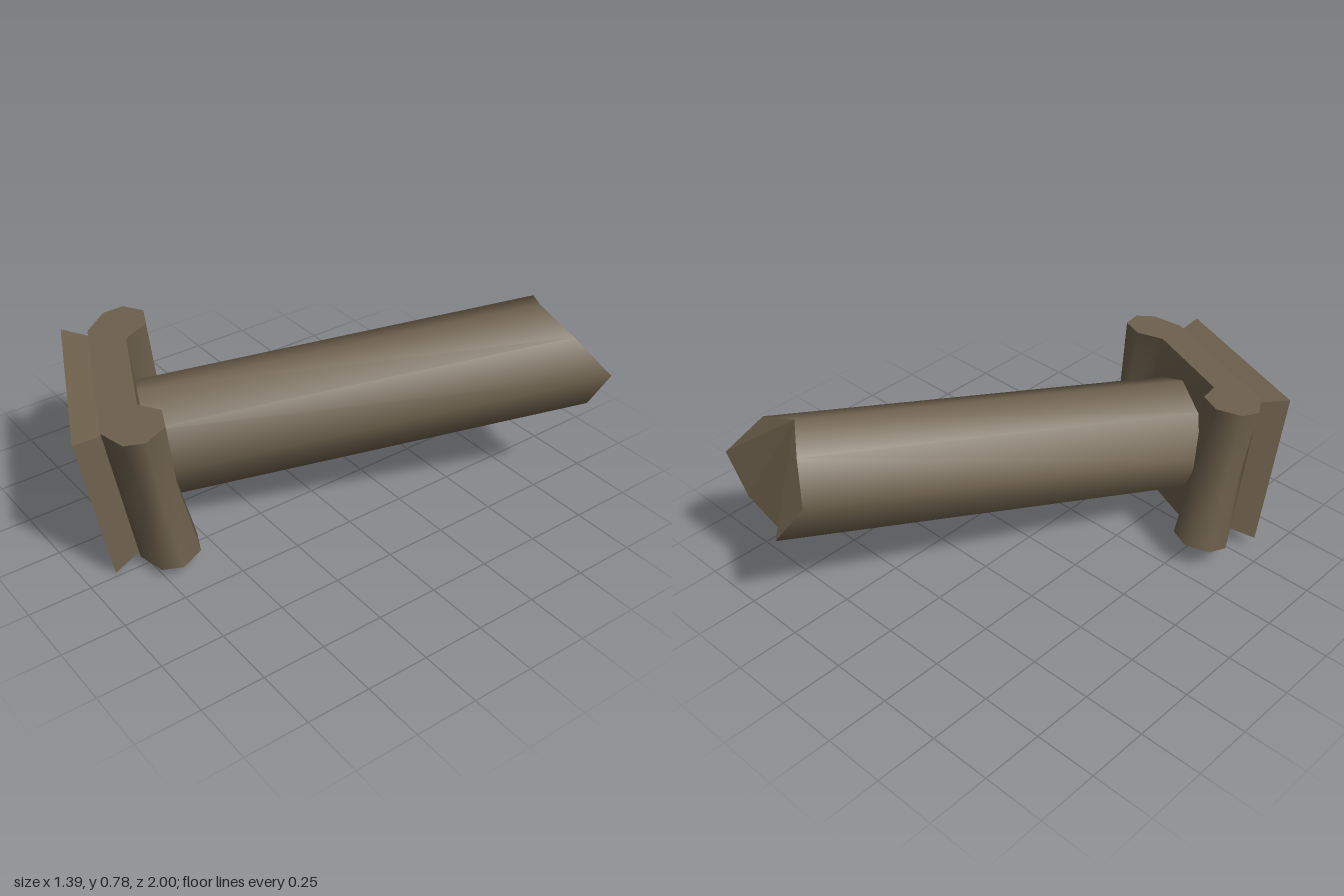
import * as THREE from 'three';

const stone = new THREE.MeshStandardMaterial({ color: 0x6e614d });
stone.name = 'weathered stone';

function part(name, geometry) {
  const mesh = new THREE.Mesh(geometry, stone);
  mesh.name = name;
  return mesh;
}

// Smooth skin through rings of equal point count
function loft(rings) {
  const n = rings[0].length;
  const index = [];
  for (let r = 0; r < rings.length - 1; r++) {
    for (let i = 0; i < n; i++) {
      const a = r * n + i, b = r * n + (i + 1) % n;
      index.push(a, b, b + n, a, b + n, a + n);
    }
  }
  const g = new THREE.BufferGeometry().setFromPoints(rings.flat());
  g.setIndex(index);
  g.computeVertexNormals();
  return g;
}

export function createModel() {
  const model = new THREE.Group();
  model.name = 'fallenColumn';

  // Capital frame: x across, y along the scrolls, z out of the square slab
  const across = new THREE.Vector3(0.907, -0.06, 0.417).normalize();
  const along = new THREE.Vector3(0, 0.983, 0.185).normalize();
  const out = across.clone().cross(along).normalize();
  along.crossVectors(out, across);
  const origin = new THREE.Vector3(-0.3625, 0.33, 0.785);

  const capital = new THREE.Group();
  capital.name = 'capital';
  capital.position.copy(origin);
  capital.quaternion.setFromRotationMatrix(new THREE.Matrix4().makeBasis(across, along, out));
  model.add(capital);

  // Square slab, tapering toward the scrolls
  const slab = new THREE.BoxGeometry(0.744, 0.62, 0.1).translate(0, 0, -0.05);
  const pos = slab.attributes.position;
  for (let i = 0; i < pos.count; i++) {
    if (pos.getZ(i) < -0.05) pos.setXY(i, pos.getX(i) * 0.865, pos.getY(i) * 0.91);
  }
  slab.computeVertexNormals();
  capital.add(part('slab', slab));

  // Scroll profile: half outline mirrored, second number is depth behind the slab face
  const half = [[0.33, 0.1], [0.43, 0.17], [0.445, 0.25], [0.38, 0.325], [0.282, 0.323], [0.215, 0.242]];
  const outline = [...half, ...half.map(([x, d]) => [-x, d]).reverse()];
  const ring = (y, scale) => outline.map(([x, d]) => {
    const cx = Math.sign(x) * 0.33;
    const depth = d > 0.15 ? 0.22 + (d - 0.22) * scale : d;
    return new THREE.Vector3(cx + (x - cx) * scale, y, -depth);
  });
  capital.add(part('scrolls', loft([ring(-0.3, 1), ring(0, 0.82), ring(0.3, 1)])));

  // Flat scroll ends
  const shape = new THREE.Shape(outline.map(([x, d]) => new THREE.Vector2(x, d)));
  const end = new THREE.ShapeGeometry(shape).rotateX(-Math.PI / 2).translate(0, 0.3, 0);
  capital.add(part('upperScrollEnd', end));
  capital.add(part('lowerScrollEnd', end.clone().rotateZ(Math.PI)));

  // Eight-sided shaft, swept from inside the capital to its broken rim
  const rim = [
    [0.40, 0.78, -0.78], [0.58, 0.715, -0.79], [0.69, 0.56, -0.90], [0.60, 0.395, -0.89],
    [0.41, 0.33, -0.89], [0.29, 0.42, -1.0], [0.20, 0.57, -0.93], [0.27, 0.73, -0.88],
  ].map((p) => new THREE.Vector3(...p));
  const axis = new THREE.Vector3(0.424, 0.128, -0.9).normalize();
  const root = rim.map((p) => {
    const depth = -p.clone().sub(origin).dot(out);
    return p.clone().addScaledVector(axis, (depth - 0.2) / axis.dot(out));
  });
  model.add(part('shaft', loft([root, rim])));

  // Jagged broken end
  const facets = [];
  for (let i = 1; i < rim.length - 1; i++) facets.push(rim[0], rim[i], rim[i + 1]);
  const broken = new THREE.BufferGeometry().setFromPoints(facets);
  broken.computeVertexNormals();
  model.add(part('brokenEnd', broken));

  return model;
}
